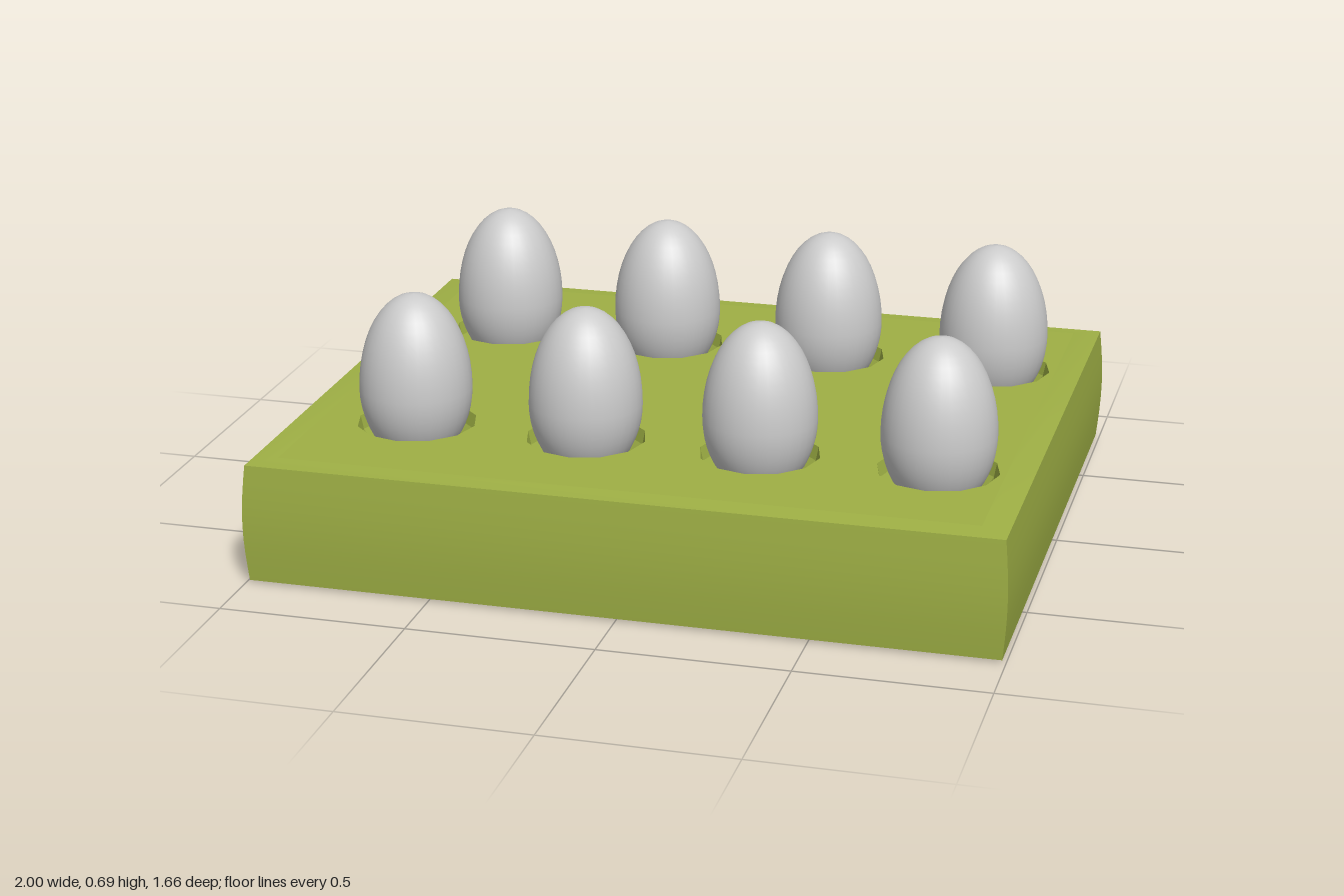
import * as THREE from 'three';
import { toCreasedNormals } from 'three/addons/utils/BufferGeometryUtils.js';

const DEPTH = 0.83, TOP = 0.333, EDGE = 0.92;
const HOLE_R = 0.16, HOLE_SIDES = 12;
const EGG_X = [-0.665, -0.195, 0.275, 0.745], EGG_Z = [-0.405, 0.41];
const v = (x, y) => new THREE.Vector2(x, y);

// Half-oval profile with separate upper and lower heights, from angle a to b
function oval(r, up, down, a, b, n) {
  return Array.from({ length: n + 1 }, (_, i) => {
    const t = a + (b - a) * i / n;
    return v(Math.max(0, r * Math.cos(t)), Math.sin(t) * (t > 0 ? up : down));
  });
}

export function createModel() {
  const group = new THREE.Group();
  const green = new THREE.MeshStandardMaterial({ color: 0x9fb045 });
  const cupGreen = new THREE.MeshStandardMaterial({ color: 0x9fb045, flatShading: true, side: THREE.DoubleSide });
  const grey = new THREE.MeshStandardMaterial({ color: 0xcccccc });
  const add = (name, geometry, material, parent = group) => {
    const mesh = new THREE.Mesh(geometry, material);
    mesh.name = name;
    parent.add(mesh);
    return mesh;
  };

  // Square-sided tray body: flat bottom, slightly bulging walls, softened top rim
  const profile = [v(0, 0), v(EDGE, 0), v(0.99, 0.007)];
  for (let i = 1; i < 8; i++) {
    profile.push(v(0.99 + 0.01 * Math.sin(Math.PI * i / 8), 0.007 + 0.319 * i / 8));
  }
  profile.push(v(0.99, 0.326), v(EDGE, TOP));
  const body = new THREE.LatheGeometry(profile, 4, Math.PI / 4);
  body.scale(Math.SQRT2, 1, Math.SQRT2 * DEPTH);
  add('trayBody', toCreasedNormals(body, 0.6), green);

  // Tray top with one hole per egg
  const w = EDGE, d = EDGE * DEPTH;
  const top = new THREE.Shape([v(-w, -d), v(w, -d), v(w, d), v(-w, d)]);
  for (const x of EGG_X) for (const z of EGG_Z) {
    top.holes.push(new THREE.Path(Array.from({ length: HOLE_SIDES }, (_, i) => {
      const a = -i / HOLE_SIDES * Math.PI * 2;
      return v(x + HOLE_R * Math.cos(a), -z + HOLE_R * Math.sin(a));
    })));
  }
  const topGeometry = new THREE.ShapeGeometry(top).rotateX(-Math.PI / 2);
  add('trayTop', topGeometry, green).position.y = TOP;

  // Hollow cups and the eggs standing in them
  const cup = new THREE.LatheGeometry(oval(HOLE_R, 0, 0.12, 0, -Math.PI / 2, 5), HOLE_SIDES);
  const egg = new THREE.LatheGeometry(oval(0.15, 0.258, 0.205, -Math.PI / 2, Math.PI / 2, 24), 32);
  for (const x of EGG_X) for (const z of EGG_Z) {
    const place = new THREE.Group();
    place.name = 'eggPlace';
    place.position.set(x, 0, z);
    add('cup', cup, cupGreen, place).position.y = TOP;
    add('egg', egg, grey, place).position.y = 0.432;
    group.add(place);
  }
  return group;
}
